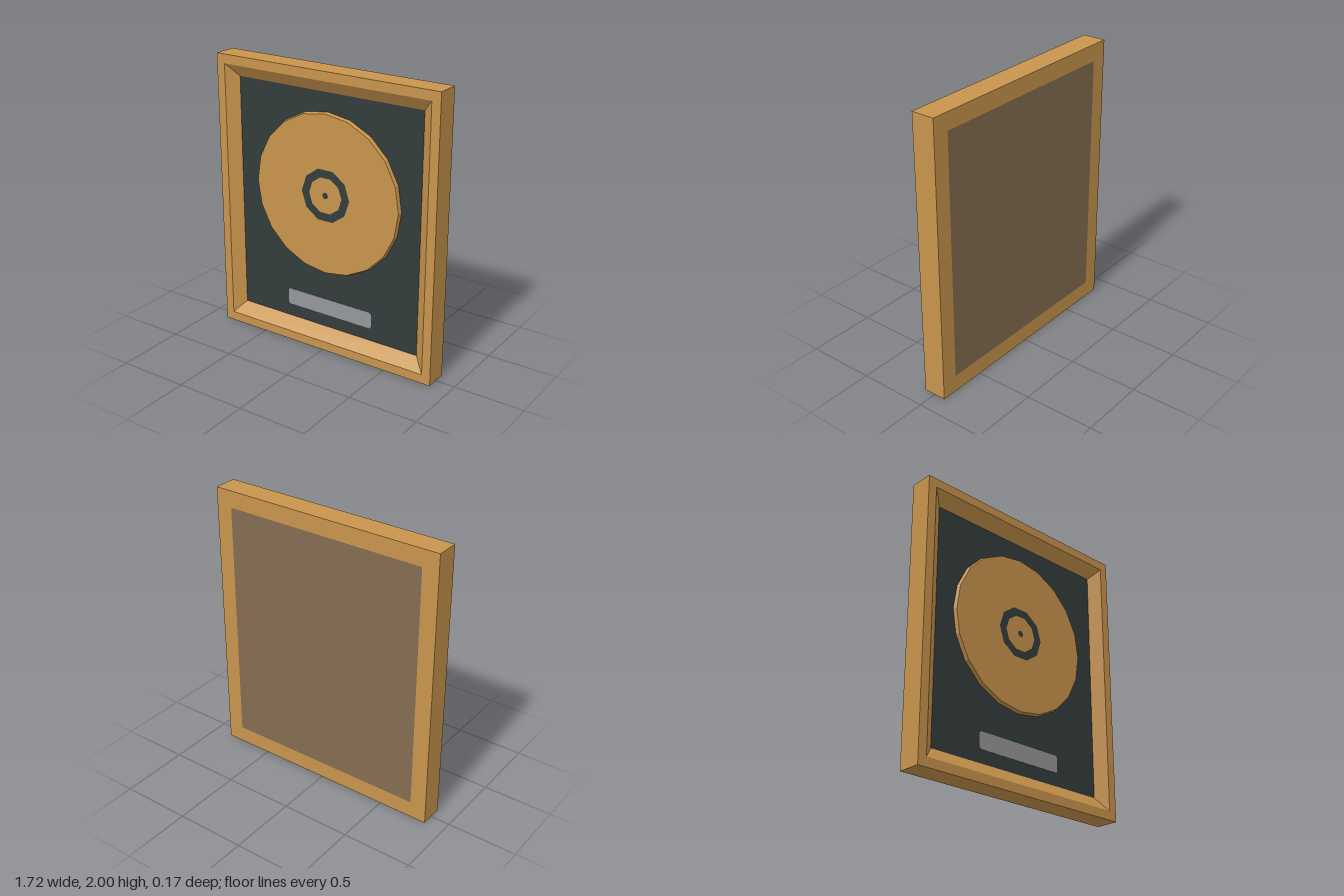
import * as THREE from 'three';

const BACK = -0.083, FRONT = 0.083, BED = 0.019, DISC = 0.045;

// Skins successive rectangular loops [halfWidth, halfHeight, z] with flat quads
function loftRectangles(loops) {
  const corners = ([w, h, z]) => [[-w, -h, z], [w, -h, z], [w, h, z], [-w, h, z]];
  const pos = [];
  for (let i = 0; i < loops.length - 1; i++) {
    const a = corners(loops[i]), b = corners(loops[i + 1]);
    for (let k = 0; k < 4; k++) {
      const n = (k + 1) % 4;
      pos.push(...a[k], ...a[n], ...b[n], ...a[k], ...b[n], ...b[k]);
    }
  }
  const geo = new THREE.BufferGeometry();
  geo.setAttribute('position', new THREE.Float32BufferAttribute(pos, 3));
  geo.computeVertexNormals();
  return geo;
}

// Rectangle with small clipped corners
function clippedPlate(w, h, c) {
  const x = w / 2, y = h / 2;
  const pts = [[-x + c, -y], [x - c, -y], [x, -y + c], [x, y - c], [x - c, y], [-x + c, y], [-x, y - c], [-x, -y + c]];
  return new THREE.ExtrudeGeometry(new THREE.Shape(pts.map(p => new THREE.Vector2(...p))), { depth: 0.003, bevelEnabled: false });
}

export function createModel() {
  const group = new THREE.Group();
  const material = (name, color) => new THREE.MeshStandardMaterial({ name, color, flatShading: true });
  const gold = material('gold', 0xc8944c);
  const dark = material('dark slate', 0x333c3c);
  const silver = material('silver', 0x96979b);
  const brown = material('backing brown', 0x846c51);

  const add = (name, geo, mat, x, y, z) => {
    const mesh = new THREE.Mesh(geo, mat);
    mesh.name = name;
    mesh.position.set(x, y, z);
    group.add(mesh);
    return mesh;
  };

  // Frame: back border, outer sides, front border, sloping inner bevel
  add('frame', loftRectangles([
    [0.742, 0.88, BACK], [0.86, 1, BACK], [0.86, 1, FRONT], [0.797, 0.935, FRONT], [0.717, 0.847, BED],
  ]), gold, 0, 1, 0);

  // Mount inside the frame and panel closing the back
  add('mountBoard', new THREE.BoxGeometry(1.434, 1.694, 0.01), dark, 0, 1, BED - 0.005);
  add('backPanel', new THREE.BoxGeometry(1.484, 1.76, 0.01), brown, 0, 1, BACK + 0.005);

  // Disc with a slightly tapered rim, painted ring and spindle hole
  const cy = 1.143;
  const disc = new THREE.CylinderGeometry(0.565, 0.573, DISC - BED, 20).rotateX(Math.PI / 2);
  add('disc', disc, gold, 0, cy, (DISC + BED) / 2);
  add('discRing', new THREE.RingGeometry(0.13, 0.19, 10), dark, 0, cy, DISC + 0.002);
  add('spindleHole', new THREE.CircleGeometry(0.023, 10), dark, 0, cy, DISC + 0.002);

  // Blank name plate
  add('plaque', clippedPlate(0.69, 0.12, 0.013), silver, 0.013, 0.305, BED);
  return group;
}
